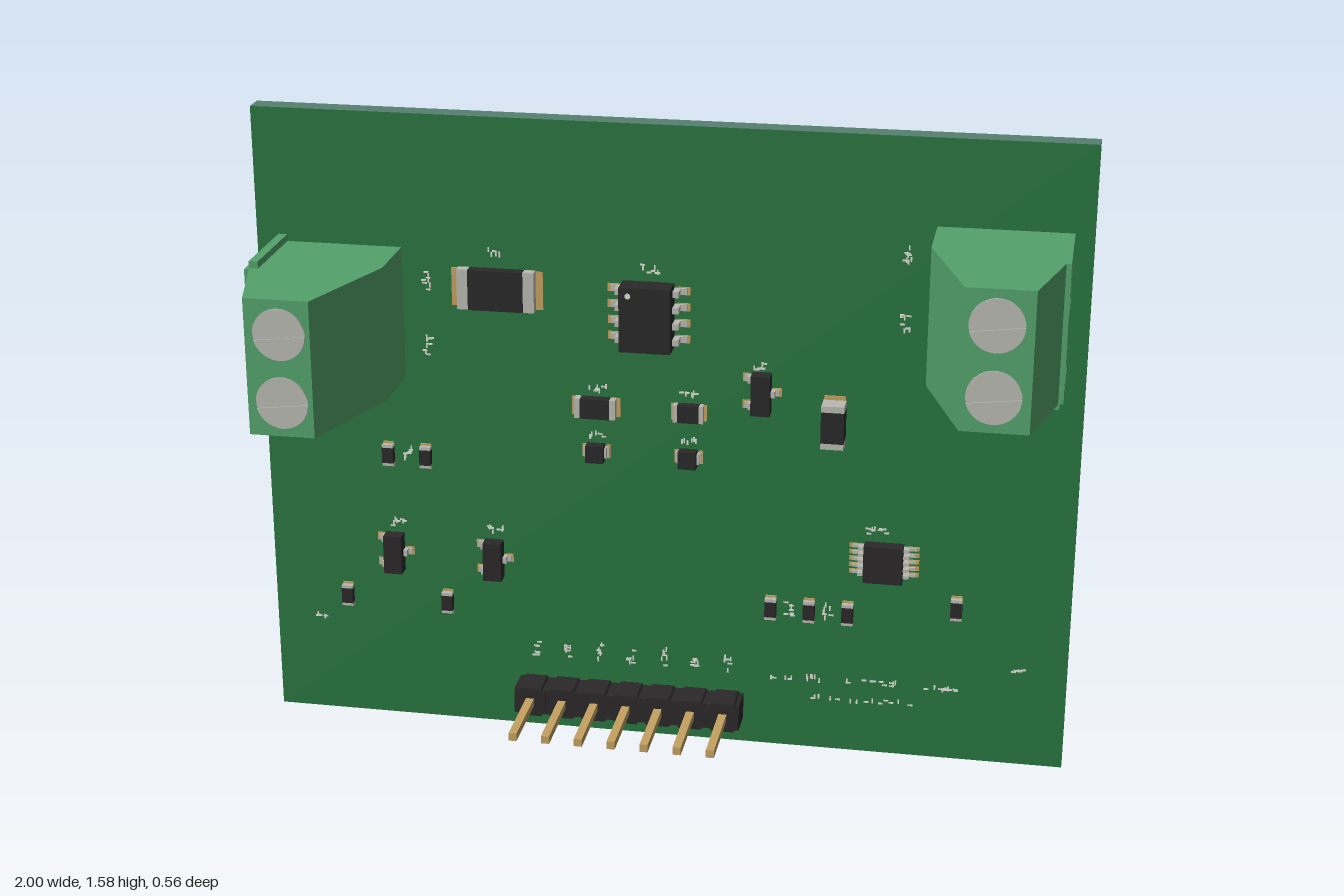
import * as THREE from 'three';

const mat = (name, color) => {
  const m = new THREE.MeshStandardMaterial({ color });
  m.name = name;
  return m;
};

export function createModel() {
  const M = {
    board: mat('board green', 0x29743f),
    edge: mat('board edge', 0x56806f),
    terminal: mat('terminal green', 0x54a36b),
    metal: mat('tinned metal', 0xb9b9b2),
    gold: mat('gold', 0xc4a261),
    copper: mat('copper pad', 0xb08038),
    black: mat('black plastic', 0x2a2828),
    silk: mat('silkscreen', 0xdcdfd4),
  };
  const FRONT = -0.167, BACK = -0.22;
  const root = new THREE.Group();
  root.name = 'circuitBoard';

  const add = (parent, name, geo, m, x = 0, y = 0, z = 0) => {
    const mesh = new THREE.Mesh(geo, m);
    mesh.name = name;
    mesh.position.set(x, y, z);
    parent.add(mesh);
    return mesh;
  };
  // box given by its centre in x and y and its z range
  const box = (parent, name, m, x, y, w, h, z0, z1) =>
    add(parent, name, new THREE.BoxGeometry(w, h, z1 - z0), m, x, y, (z0 + z1) / 2);
  const group = (parent, name, x, y) => {
    const g = new THREE.Group();
    g.name = name;
    g.position.set(x, y, 0);
    parent.add(g);
    return g;
  };
  const rect = (C, x, y, w, h) => {
    const p = new C();
    p.moveTo(x - w / 2, y - h / 2).lineTo(x + w / 2, y - h / 2)
      .lineTo(x + w / 2, y + h / 2).lineTo(x - w / 2, y + h / 2).closePath();
    return p;
  };
  const extrude = (shape, depth) => new THREE.ExtrudeGeometry(shape, { depth, bevelEnabled: false, curveSegments: 16 });
  const disc = (r, h, n = 20) => new THREE.CylinderGeometry(r, r, h, n).rotateX(Math.PI / 2);

  // bare board with green faces and paler cut edges
  const E = M.edge;
  add(root, 'board', new THREE.BoxGeometry(2, 1.58, FRONT - BACK),
    [E, E, E, E, M.board, M.board], 0, 0.79, (FRONT + BACK) / 2);

  // solder pad on the back, square for the first pin
  const pad = (parent, x, y, r, square) => square
    ? box(parent, 'squarePad', M.copper, x, y, r * 2, r * 2, BACK - 0.003, BACK)
    : add(parent, 'roundPad', disc(r, 0.003), M.copper, x, y, BACK - 0.0015);

  // screw terminals, outer side towards local +x
  const terminal = (name, x, y, turn) => {
    const g = group(root, name, x, y);
    g.rotation.z = turn;
    const profile = new THREE.Shape([[-0.16, FRONT], [-0.16, 0], [-0.065, 0.278], [0.09, 0.278],
      [0.143, 0.07], [0.04, 0.07], [0.04, FRONT]].map(([px, pz]) => new THREE.Vector2(px, -pz)));
    add(g, 'housing', extrude(profile, 0.33).rotateX(-Math.PI / 2), M.terminal, 0, -0.165);

    // outer wall in two layers, the wire holes narrowing inwards
    const hz = -0.03, ys = [0.0825, -0.0825];
    const layer = (label, x0, depth, w, h) => {
      const s = rect(THREE.Shape, -(FRONT + 0.07) / 2, 0, 0.07 - FRONT, 0.33);
      ys.forEach(v => s.holes.push(rect(THREE.Path, -hz, v, w, h)));
      add(g, label, extrude(s, depth).rotateY(Math.PI / 2), M.terminal, x0);
    };
    layer('innerWall', 0.04, 0.08, 0.1, 0.078);
    layer('outerWall', 0.12, 0.035, 0.17, 0.115);
    ys.forEach(v => {
      // inward facing funnel
      let f = new THREE.CylinderGeometry(Math.SQRT1_2, Math.SQRT1_2 * 0.62, 0.035, 4, 1, true)
        .rotateY(Math.PI / 4).rotateZ(Math.PI / 2).scale(-1, 0.115, 0.17).toNonIndexed();
      // a mirrored scale leaves the winding facing the hole
      f.computeVertexNormals();
      add(g, 'wireFunnel', f, M.terminal, 0.1375, v, hz);

      // screw head made of two halves around a slot
      const screw = group(g, 'screw', 0.008, v);
      screw.rotation.z = 0.12;
      add(screw, 'slotFloor', disc(0.062, 0.002, 28), M.metal, 0, 0, 0.2785);
      [0, Math.PI].forEach(a => {
        const half = new THREE.Shape();
        half.absarc(0, 0, 0.062, 0.14, Math.PI - 0.14, false);
        half.closePath();
        add(screw, 'screwHalf', extrude(half, 0.004), M.metal, 0, 0, 0.2785).rotation.z = a;
      });
      pad(g, 0.008, v, 0.038, v < 0);
      box(g, 'solderPin', M.metal, 0.008, v, 0.03, 0.03, -0.278, FRONT);
    });
    box(g, 'dovetailRail', M.terminal, 0.135, -0.173, 0.022, 0.018, FRONT, 0.06);
  };
  terminal('leftTerminal', 0.8, 1.205, 0);
  terminal('rightTerminal', -0.8, 1.085, Math.PI);

  // seven pin header
  const header = group(root, 'pinHeader', -0.325, 0.1);
  const cell = new THREE.Shape([[-0.04, -0.024], [-0.027, -0.038], [0.027, -0.038], [0.04, -0.024],
    [0.04, 0.024], [0.027, 0.038], [-0.027, 0.038], [-0.04, 0.024]].map(p => new THREE.Vector2(...p)));
  for (let i = 0; i < 7; i++) {
    const x = i * 0.0815;
    add(header, 'headerCell', extrude(cell, 0.08), M.black, x, 0, FRONT);
    box(header, 'headerLink', M.black, x, 0, 0.0815, 0.066, FRONT, -0.09);
    box(header, 'headerPin', M.gold, x, 0, 0.02, 0.02, -0.26, 0.107);
    pad(header, x, 0, 0.024, i === 0);
  }

  // two-ended chip: pads, metal ends and a dark body; length runs along x
  const chip = (name, x, y, len, wide, high, upright) => {
    const g = group(root, name, x, y);
    if (upright) g.rotation.z = Math.PI / 2;
    const bodyLen = len * 0.84, end = len * 0.12;
    [-1, 1].forEach(s => {
      box(g, 'pad', M.gold, s * (len / 2 - end * 0.75), 0, end * 1.5, wide * 0.95, FRONT, FRONT + 0.003);
      box(g, 'endCap', M.metal, s * (bodyLen - end) / 2, 0, end, wide, FRONT, FRONT + high);
    });
    box(g, 'chipBody', M.black, 0, 0, bodyLen - 2 * end, wide, FRONT, FRONT + high + 0.002);
  };
  chip('shuntResistor', -0.405, 1.16, 0.225, 0.1, 0.025, false);
  chip('capacitor', 0.415, 0.875, 0.13, 0.055, 0.05, true);
  chip('chipWide', -0.165, 0.875, 0.12, 0.05, 0.025, false);
  chip('chipMedium', 0.063, 0.875, 0.088, 0.044, 0.02, false);
  [[-0.69, 0.715], [-0.595, 0.715], [-0.81, 0.325], [-0.55, 0.325], [0.27, 0.375],
    [0.365, 0.375], [0.46, 0.375], [0.725, 0.41]].forEach(([x, y]) =>
    chip('smallChip', x, y, 0.066, 0.028, 0.016, true));

  // leaded package; lists of lead heights for the left and right sides
  const leaded = (name, x, y, w, h, high, span, left, right, lead) => {
    const g = group(root, name, x, y);
    box(g, 'packageBody', M.black, 0, 0, w, h, FRONT + 0.006, FRONT + high);
    [[-1, left], [1, right]].forEach(([s, ys]) => ys.forEach(v => {
      const run = span / 2 - w / 2;
      box(g, 'pad', M.gold, s * (span / 2 - run * 0.4), v, run * 0.8, lead * 1.3, FRONT, FRONT + 0.003);
      box(g, 'foot', M.metal, s * (w / 2 + run * 0.55), v, run * 0.5, lead, FRONT, FRONT + 0.008);
      box(g, 'lead', M.metal, s * (w / 2 + run * 0.2), v, run * 0.4, lead, FRONT, FRONT + high * 0.55);
    }));
    return g;
  };
  const four = [-0.06, -0.02, 0.02, 0.06], five = [-0.034, -0.017, 0, 0.017, 0.034];
  const ic = leaded('eightLeadChip', -0.035, 1.12, 0.124, 0.16, 0.066, 0.2, four, four, 0.015);
  add(ic, 'pinOneDot', disc(0.007, 0.002, 12), M.silk, -0.04, 0.06, FRONT + 0.067);
  leaded('tenLeadChip', 0.545, 0.525, 0.095, 0.095, 0.042, 0.17, five, five, 0.008);
  [[-0.68, 0.457], [-0.425, 0.457], [0.24, 0.94]].forEach(([x, y]) =>
    leaded('transistor', x, y, 0.046, 0.1, 0.042, 0.094, [-0.034, 0.034], [0], 0.016));
  [-0.165, 0.063].forEach(x => leaded('smallDiode', x, 0.76, 0.044, 0.044, 0.034, 0.07, [0], [0], 0.026));

  // abstract silkscreen flecks: x, y, width, height of each patch
  let seed = 7;
  const rnd = () => (seed = (seed * 16807) % 2147483647) / 2147483647;
  const patches = [[-0.58, 1.17, 0.02, 0.05], [-0.58, 1.0, 0.02, 0.06], [0.575, 1.29, 0.02, 0.06],
    [0.575, 1.13, 0.02, 0.05], [-0.41, 1.25, 0.03, 0.015], [-0.035, 1.23, 0.05, 0.02], [0.23, 1.0, 0.04, 0.02],
    [-0.165, 0.92, 0.05, 0.015], [0.063, 0.92, 0.04, 0.015], [-0.165, 0.8, 0.04, 0.01], [0.063, 0.8, 0.04, 0.01],
    [-0.64, 0.72, 0.02, 0.03], [-0.68, 0.53, 0.05, 0.02], [-0.425, 0.53, 0.05, 0.02], [-0.88, 0.26, 0.03, 0.01],
    [0.53, 0.6, 0.06, 0.02], [0.315, 0.375, 0.02, 0.04], [0.41, 0.375, 0.02, 0.04], [0.88, 0.255, 0.03, 0.01],
    [0.33, 0.19, 0.13, 0.015], [0.53, 0.19, 0.14, 0.015], [0.7, 0.19, 0.12, 0.015], [0.5, 0.14, 0.26, 0.012]];
  for (let i = 0; i < 7; i++) patches.push([-0.325 + i * 0.0815, 0.215, 0.018, 0.045]);
  const marks = group(root, 'silkscreenMarks', 0, 0);
  patches.forEach(([x, y, w, h]) => {
    const n = Math.round(5 + w * h * 3000);
    for (let i = 0; i < n; i++) {
      const long = rnd() > 0.5;
      box(marks, 'fleck', M.silk, x + (rnd() - 0.5) * w, y + (rnd() - 0.5) * h,
        long ? 0.012 : 0.004, long ? 0.004 : 0.012, FRONT, FRONT + 0.002);
    }
  });

  return root;
}
